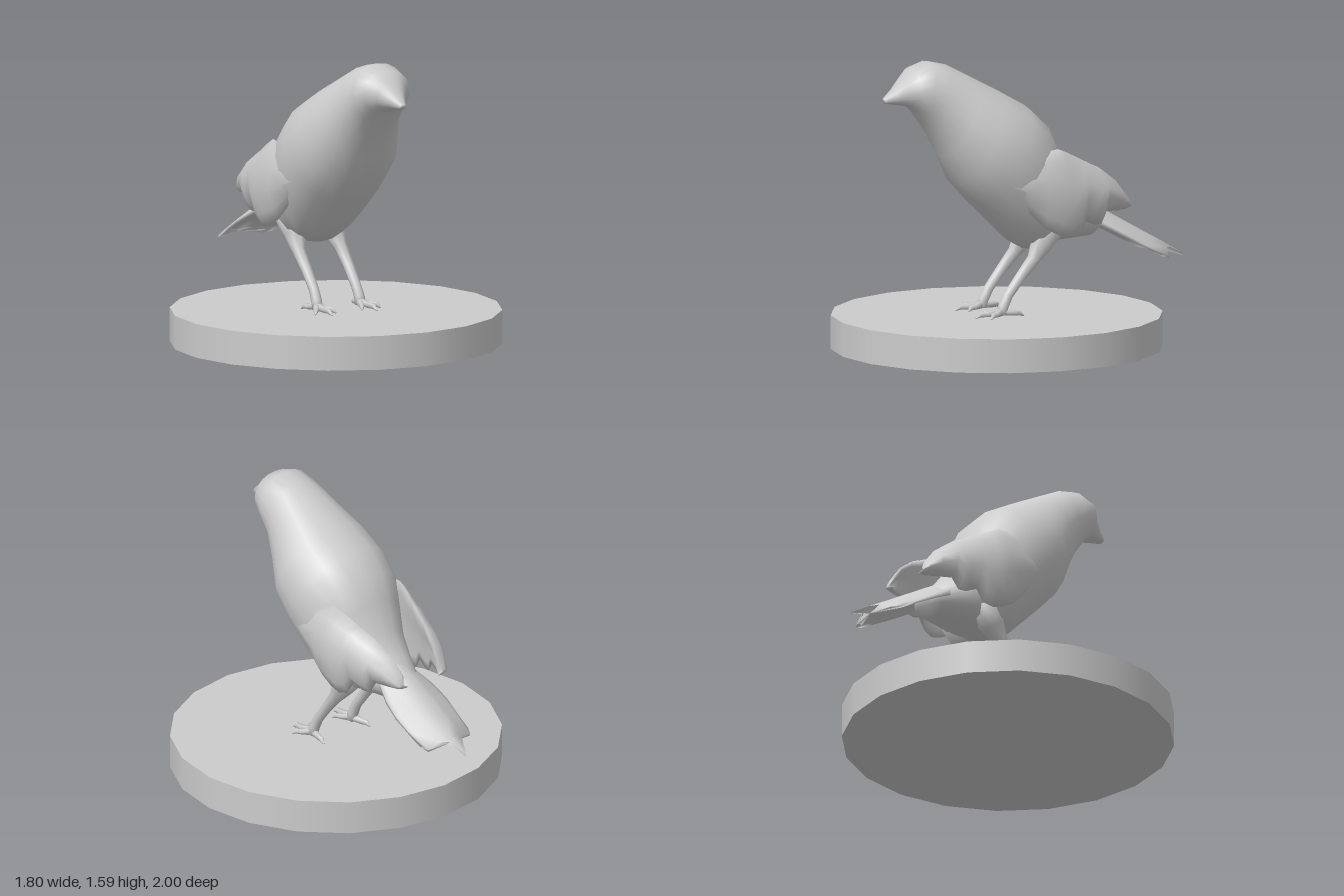
import * as THREE from 'three';

const material = new THREE.MeshStandardMaterial({ color: 0xcccccc });

function addMesh(parent, name, geometry) {
  const mesh = new THREE.Mesh(geometry, material);
  mesh.name = name;
  parent.add(mesh);
  return mesh;
}

// Skins closed rings of Vector3 and caps both ends; faces always point outward.
function loft(rings) {
  const n = rings[0].length;
  const points = rings.flat();
  const index = [];
  for (let i = 0; i < rings.length - 1; i++) {
    for (let j = 0; j < n; j++) {
      const a = i * n + j, b = i * n + (j + 1) % n;
      index.push(a, b, a + n, b, b + n, a + n);
    }
  }
  for (const end of [0, rings.length - 1]) {
    const center = new THREE.Vector3();
    rings[end].forEach(p => center.addScaledVector(p, 1 / n));
    const c = points.push(center) - 1;
    for (let j = 0; j < n; j++) {
      const a = end * n + j, b = end * n + (j + 1) % n;
      index.push(...(end === 0 ? [c, b, a] : [c, a, b]));
    }
  }
  let volume = 0;
  const cross = new THREE.Vector3();
  for (let i = 0; i < index.length; i += 3) {
    cross.crossVectors(points[index[i + 1]], points[index[i + 2]]);
    volume += points[index[i]].dot(cross);
  }
  if (volume < 0) index.reverse();
  const geometry = new THREE.BufferGeometry().setFromPoints(points);
  geometry.setIndex(index);
  geometry.computeVertexNormals();
  return geometry;
}

// Round limb along a path of [x, y, z, radius].
function limb(path, sides = 8) {
  const pts = path.map(p => new THREE.Vector3(p[0], p[1], p[2]));
  const side = new THREE.Vector3(), up = new THREE.Vector3();
  return loft(pts.map((p, i) => {
    const dir = pts[Math.min(i + 1, pts.length - 1)].clone().sub(pts[Math.max(i - 1, 0)]).normalize();
    const ref = Math.abs(dir.x) > 0.8 ? new THREE.Vector3(0, 1, 0) : new THREE.Vector3(1, 0, 0);
    up.crossVectors(dir, ref).normalize();
    side.crossVectors(up, dir);
    return Array.from({ length: sides }, (_, j) => {
      const a = j / sides * Math.PI * 2;
      return p.clone().addScaledVector(side, Math.cos(a) * path[i][3]).addScaledVector(up, Math.sin(a) * path[i][3]);
    });
  }));
}

// Slanted oval sections: back z, back y, belly z, belly y, half width.
function bodyGeometry() {
  const sections = [
    [0.765, 1.40, 0.755, 1.37, 0.02],
    [0.71, 1.45, 0.69, 1.36, 0.055],
    [0.66, 1.505, 0.635, 1.35, 0.095],
    [0.60, 1.56, 0.60, 1.325, 0.15],
    [0.51, 1.59, 0.55, 1.26, 0.175],
    [0.40, 1.565, 0.49, 1.17, 0.19],
    [0.24, 1.48, 0.43, 1.06, 0.24],
    [0.09, 1.40, 0.36, 0.91, 0.30],
    [-0.06, 1.315, 0.25, 0.79, 0.315],
    [-0.17, 1.21, 0.13, 0.67, 0.30],
    [-0.235, 1.07, 0.04, 0.58, 0.26],
    [-0.30, 0.91, -0.05, 0.53, 0.22],
    [-0.40, 0.79, -0.20, 0.565, 0.17],
    [-0.50, 0.71, -0.42, 0.58, 0.11]
  ];
  const sides = 20;
  return loft(sections.map(([tz, ty, bz, by, w]) => Array.from({ length: sides }, (_, j) => {
    const a = j / sides * Math.PI * 2;
    const t = (1 - Math.cos(a)) / 2;
    const s = Math.sin(a);
    return new THREE.Vector3(w * Math.sign(s) * Math.abs(s) ** 0.9, ty + (by - ty) * t, tz + (bz - tz) * t);
  })));
}

// Arched fan with a long middle feather.
function tailGeometry() {
  const across = [[-1, -0.80], [-0.85, -0.845], [-0.4, -0.865], [-0.2, -0.91], [0.08, -1],
    [0.28, -0.89], [0.5, -0.86], [0.9, -0.845], [1, -0.80]];
  const widths = [0.10, 0.13, 0.165, 0.18, 0.175, 0.17];
  return loft(widths.map((w, i) => {
    const t = i / (widths.length - 1);
    const edge = (thickness) => across.map(([u, end]) => {
      const z = -0.32 + (end + 0.32) * t;
      const droop = 0.085 * Math.abs(u) ** 1.5;
      return new THREE.Vector3(u * w, 0.73 + (z + 0.5) * 0.575 - droop - thickness, z);
    });
    return [...edge(0), ...edge(0.03 - 0.02 * t).reverse()];
  }));
}

// Folded wing sections: z, upper y, lower y, outer x, upper edge x.
// The uneven lower edge forms the stepped feather tips.
function wingGeometry(s) {
  const sections = [
    [0.12, 0.97, 0.88, 0.285, 0.27],
    [0.02, 1.05, 0.77, 0.305, 0.26],
    [-0.08, 1.09, 0.67, 0.315, 0.25],
    [-0.16, 1.10, 0.63, 0.32, 0.235],
    [-0.22, 1.075, 0.61, 0.315, 0.22],
    [-0.28, 1.045, 0.625, 0.305, 0.205],
    [-0.32, 1.025, 0.695, 0.295, 0.195],
    [-0.38, 0.995, 0.67, 0.28, 0.18],
    [-0.425, 0.975, 0.67, 0.27, 0.17],
    [-0.46, 0.95, 0.735, 0.255, 0.16],
    [-0.54, 0.89, 0.73, 0.225, 0.14],
    [-0.60, 0.81, 0.73, 0.19, 0.13],
    [-0.62, 0.77, 0.74, 0.17, 0.145]
  ];
  return loft(sections.map(([z, top, bottom, out, inner]) => {
    const h = top - bottom, thick = (out - inner) * 0.75;
    // x, height fraction: around the outside, then back up the inside
    return [
      [inner, 1], [inner + (out - inner) * 0.55, 0.88], [out - 0.005, 0.65], [out, 0.4], [out - 0.025, 0.15],
      [out - 0.06, 0], [out - 0.065, 0.15], [out - thick, 0.4], [out - thick - 0.01, 0.65], [inner - 0.01, 0.88]
    ].map(([x, f]) => new THREE.Vector3(s * x, bottom + h * f, z));
  }));
}

function makeLeg(s) {
  const leg = new THREE.Group();
  leg.name = s > 0 ? 'leftLeg' : 'rightLeg';
  addMesh(leg, 'shank', limb([
    [s * 0.11, 0.68, -0.17, 0.10], [s * 0.125, 0.57, -0.11, 0.065], [s * 0.135, 0.49, -0.06, 0.038],
    [s * 0.135, 0.40, 0.015, 0.031], [s * 0.135, 0.30, 0.09, 0.028], [s * 0.138, 0.24, 0.12, 0.03],
    [s * 0.138, 0.20, 0.13, 0.03]
  ]));
  // Three front toes and one hind toe: tip x, tip z
  for (const [x, z] of [[0.085, 0.23], [0.145, 0.285], [0.21, 0.22], [0.165, 0.01]]) {
    addMesh(leg, 'toe', limb([
      [s * 0.138, 0.215, 0.125, 0.024],
      [s * (0.138 + (x - 0.138) * 0.55), 0.205, 0.125 + (z - 0.125) * 0.55, 0.016],
      [s * (0.138 + (x - 0.138) * 0.8), 0.205, 0.125 + (z - 0.125) * 0.8, 0.015],
      [s * x, 0.188, z, 0.004]
    ], 6));
  }
  return leg;
}

export function createModel() {
  const model = new THREE.Group();
  model.name = 'birdOnStand';

  const stand = addMesh(model, 'stand', new THREE.CylinderGeometry(0.9, 0.9, 0.185, 20));
  stand.position.set(0, 0.0925, 0.1);

  const bird = new THREE.Group();
  bird.name = 'bird';
  model.add(bird);
  addMesh(bird, 'body', bodyGeometry());
  addMesh(bird, 'tail', tailGeometry());
  for (const s of [1, -1]) {
    addMesh(bird, s > 0 ? 'leftWing' : 'rightWing', wingGeometry(s));
    bird.add(makeLeg(s));
  }
  return model;
}
